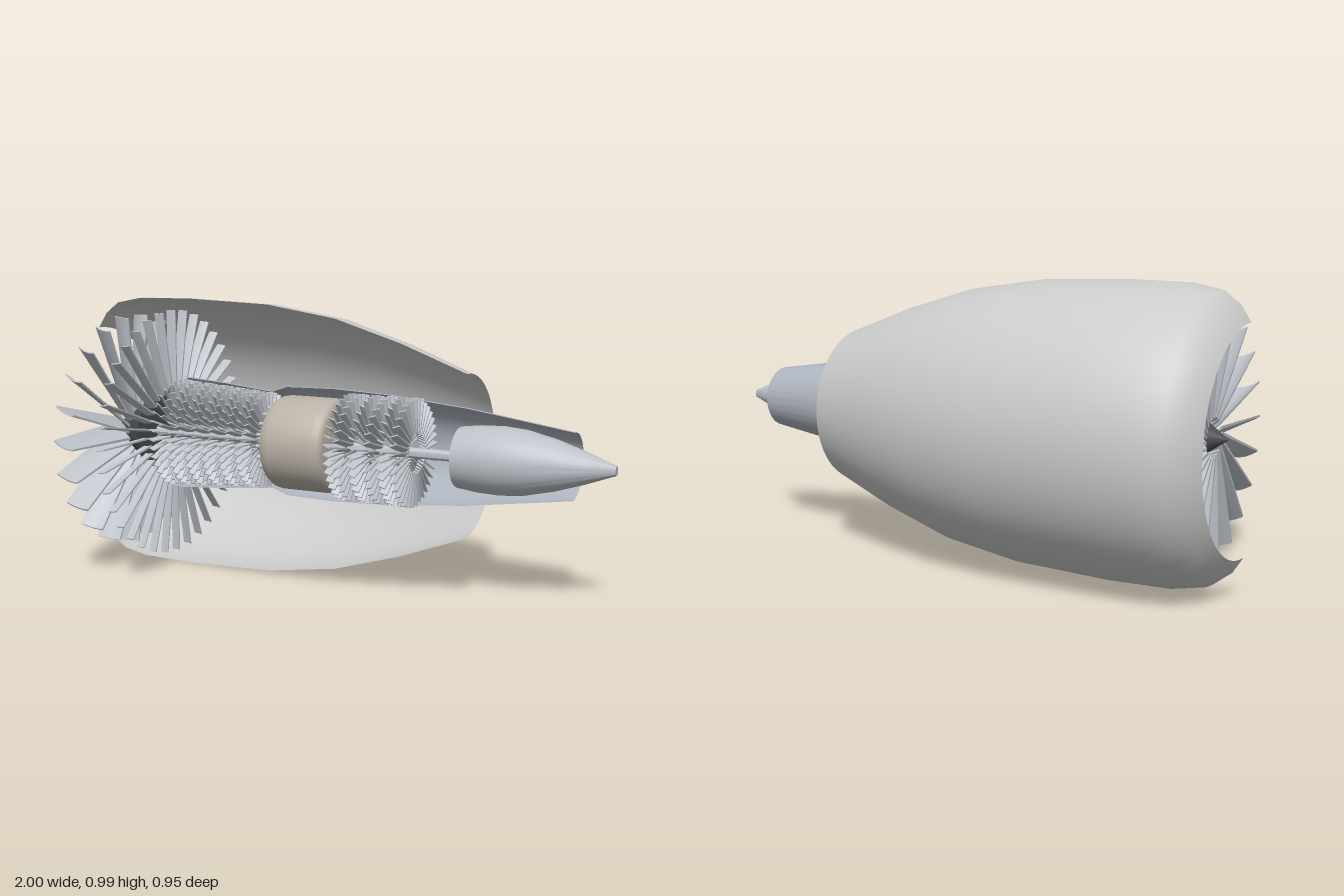
import * as THREE from 'three';
import { mergeGeometries, toCreasedNormals } from 'three/addons/utils/BufferGeometryUtils.js';

const mat = (color = 0xcccccc, side = THREE.FrontSide) => new THREE.MeshStandardMaterial({ color, side });
const metal = mat(0xc0c5cc);

// Surface of revolution about the engine axis (x); profile is [x, radius] pairs
function turned(name, profile, material, half = false) {
  let geo = new THREE.LatheGeometry(profile.map(([x, r]) => new THREE.Vector2(r, x)),
    half ? 48 : 64, half ? Math.PI / 2 : 0, half ? Math.PI : Math.PI * 2);
  geo = toCreasedNormals(geo, 0.6);
  geo.rotateZ(-Math.PI / 2);
  const mesh = new THREE.Mesh(geo, material);
  mesh.name = name;
  return mesh;
}

// Cambered blade: chord along x, span along y, skewed around the axis from root to tip
function blade({ r0, r1, chord, thick, rootSkew, tipSkew, camber = 0, rows = 1, cols = 1 }) {
  const geo = new THREE.BoxGeometry(chord, r1 - r0, thick, cols, rows, 1);
  geo.translate(0, (r0 + r1) / 2, 0);
  const p = geo.attributes.position;
  for (let i = 0; i < p.count; i++) {
    const x = p.getX(i), t = (p.getY(i) - r0) / (r1 - r0);
    const skew = THREE.MathUtils.lerp(rootSkew, tipSkew, t);
    const bow = camber * (1 - (2 * x / chord) ** 2);
    p.setZ(i, p.getZ(i) * (1 - 0.4 * t) + x * skew + bow);
  }
  geo.computeVertexNormals();
  return geo;
}

// Ring of blades at station x
function bladeRing(name, x, count, spec, phase = 0) {
  const one = blade(spec);
  const geos = [];
  for (let i = 0; i < count; i++) {
    geos.push(one.clone().rotateX(phase + i / count * Math.PI * 2));
  }
  const mesh = new THREE.Mesh(mergeGeometries(geos), metal);
  mesh.name = name;
  mesh.position.x = x;
  return mesh;
}

export function createModel() {
  const root = new THREE.Group();
  root.name = 'cutawayTurbofan';
  const engine = new THREE.Group();
  engine.name = 'engine';
  engine.position.set(0, 0.5, 0.02);
  root.add(engine);

  // Half shells, cut open on the front side
  engine.add(turned('nacelle', [
    [-1, 0.375], [-0.965, 0.43], [-0.91, 0.472], [-0.81, 0.492], [-0.6, 0.496],
    [-0.27, 0.485], [0, 0.445], [0.25, 0.37], [0.49, 0.28],
  ], mat(0xcccccc, THREE.DoubleSide), true));
  engine.add(turned('coreCowl', [
    [-0.725, 0.13], [-0.705, 0.185], [-0.675, 0.21], [-0.45, 0.195], [-0.25, 0.175],
    [-0.19, 0.196], [0, 0.2], [0.2, 0.192], [0.49, 0.165], [0.86, 0.112],
  ], mat(0xaeb4be, THREE.DoubleSide), true));

  // Rotating centre parts
  engine.add(turned('spinner', [[-0.94, 0], [-0.84, 0.068], [-0.74, 0.135], [-0.74, 0]], mat(0x4c4d54)));
  engine.add(turned('shaft', [[-0.76, 0], [-0.76, 0.018], [0.5, 0.018], [0.5, 0]], metal));
  engine.add(turned('tailCone', [
    [0.47, 0], [0.47, 0.103], [0.54, 0.112], [0.62, 0.115], [0.7, 0.108],
    [0.8, 0.085], [0.9, 0.053], [1, 0.016], [1, 0],
  ], mat(0xbcc1c8)));

  // Fan and its outlet guide vanes
  engine.add(bladeRing('fan', -0.85, 22, {
    r0: 0.06, r1: 0.428, chord: 0.08, thick: 0.01, rootSkew: 0.65, tipSkew: 0.35,
    camber: 0.008, rows: 8, cols: 4,
  }, Math.PI / 2));
  engine.add(bladeRing('outletGuideVanes', -0.673, 36, {
    r0: 0.17, r1: 0.452, chord: 0.034, thick: 0.007, rootSkew: -0.15, tipSkew: -0.15,
    camber: 0.002, rows: 2, cols: 2,
  }));

  // Compressor: stages shrink toward the combustor
  const compressor = new THREE.Group();
  compressor.name = 'compressor';
  for (let i = 0; i < 12; i++) {
    const t = i / 11;
    compressor.add(bladeRing('compressorStage', -0.638 + 0.37 * t, 36, {
      r0: 0.08, r1: 0.197 - 0.025 * t, chord: 0.018, thick: 0.006,
      rootSkew: i % 2 ? -0.5 : 0.5, tipSkew: i % 2 ? -0.4 : 0.4,
    }, i % 2 * 0.06));
  }
  engine.add(compressor);

  // Combustor drum with a ring of fuel nozzles
  engine.add(turned('combustor', [
    [-0.222, 0], [-0.222, 0.135], [-0.215, 0.153], [-0.2, 0.163], [-0.18, 0.167],
    [-0.01, 0.167], [0.01, 0.163], [0.021, 0.153], [0.025, 0.14], [0.025, 0],
  ], mat(0xb9b1a6)));
  const nozzles = [];
  for (let i = 0; i < 20; i++) {
    nozzles.push(new THREE.CylinderGeometry(0.007, 0.007, 0.03, 8)
      .rotateZ(Math.PI / 2).translate(-0.227, 0.13, 0).rotateX(i / 20 * Math.PI * 2));
  }
  const nozzleRing = new THREE.Mesh(mergeGeometries(nozzles), metal);
  nozzleRing.name = 'fuelNozzles';
  engine.add(nozzleRing);

  // Turbine stages
  const turbine = new THREE.Group();
  turbine.name = 'turbine';
  [0.06, 0.095, 0.15, 0.205, 0.255, 0.302].forEach((x, i) => {
    turbine.add(bladeRing('turbineStage', x, 36, {
      r0: 0.07, r1: 0.188, chord: 0.023, thick: 0.007,
      rootSkew: i % 2 ? -0.5 : 0.5, tipSkew: i % 2 ? -0.4 : 0.4,
    }, i % 2 * 0.06));
  });
  engine.add(turbine);

  return root;
}
